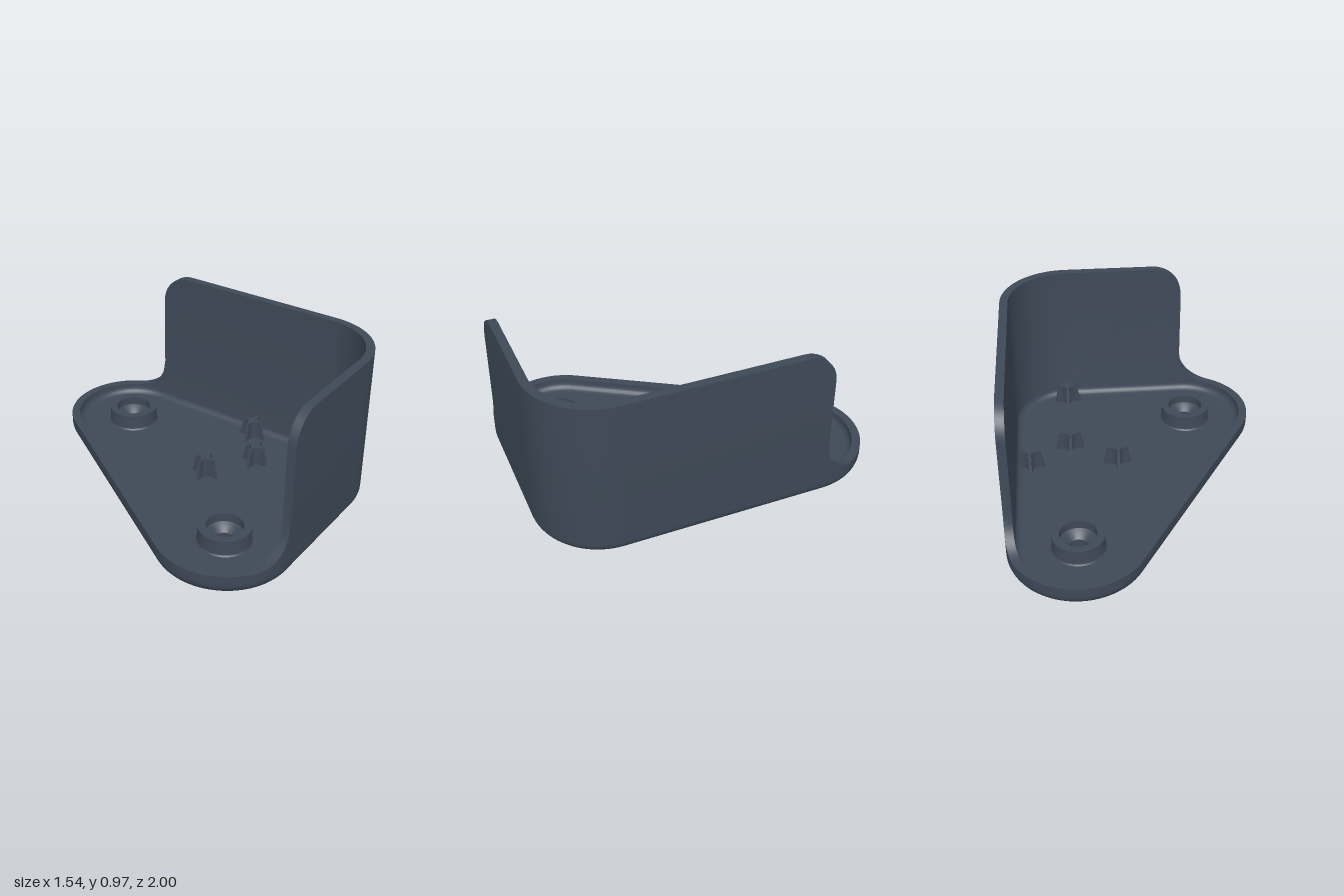
import * as THREE from 'three';
import { mergeGeometries, toCreasedNormals } from 'three/addons/utils/BufferGeometryUtils.js';

const R = 0.4, CX = 0.37, CZ = 0.6;            // corner radius and corner centres
const RIM = 0.135, TOP = 0.97, FLOOR = 0.07, BASE = 0.002;
const FILLET = 0.21, ROUND = 0.18;             // wall foot and wall shoulder radii
const HOLES = [[CX, -CZ], [-CX, CZ]];

// Stations round the outline: centre, outward angle and edge height
function makeStations() {
  const list = [];
  const put = (x, z, a, h) => list.push({ x, z, a, h, c: Math.cos(a), s: Math.sin(a) });
  const slope = Math.PI + Math.atan2(2 * CX, 2 * CZ);
  const foot = d => d > FILLET ? RIM
    : RIM + FILLET - Math.sqrt(Math.max(0, FILLET ** 2 - (FILLET - d) ** 2));
  const shoulder = [];
  for (let k = 0; k <= 10; k++) {
    const t = k * Math.PI / 20;
    shoulder.push([ROUND * (1 - Math.cos(t)), TOP - ROUND + ROUND * Math.sin(t)]);
  }
  // wall: left side, front corner, front side
  for (const [d, h] of shoulder) put(CX, -CZ + d, 0, h);
  for (let i = 0; i <= 30; i++) put(CX, CZ, i / 30 * Math.PI / 2, TOP);
  for (const [d, h] of shoulder.reverse()) put(-CX + d, CZ, Math.PI / 2, h);
  // low rim: front right corner, sloping side, back corner
  for (let i = 0; i <= 64; i++) {
    const a = Math.PI / 2 + (slope - Math.PI / 2) * i / 64;
    put(-CX, CZ, a, foot((a - Math.PI / 2) * R));
  }
  for (let i = 0; i <= 76; i++) {
    const a = slope + (2 * Math.PI - slope) * i / 76;
    put(CX, -CZ, a, foot((2 * Math.PI - a) * R));
  }
  return list;
}

// Rim and wall swept as one closed section round the outline
function shellGeometry(stations) {
  const section = h => {
    const p = [];
    for (let k = 0; k <= 8; k++) {
      const t = k * Math.PI / 16;
      p.push([R - 0.08 + 0.08 * Math.sin(t), BASE + 0.08 * (1 - Math.cos(t))]);
    }
    p.push([R, h], [R - 0.05, h]);
    for (let k = 0; k <= 5; k++) {
      const t = k * Math.PI / 10;
      p.push([R - 0.09 + 0.04 * Math.cos(t), FLOOR + 0.04 * (1 - Math.sin(t))]);
    }
    return p;
  };
  const rings = stations.map(q => section(q.h).map(([r, y]) =>
    new THREE.Vector3(q.x + r * q.c, y, q.z + r * q.s)));
  const pos = [], tri = new THREE.Triangle();
  const face = (a, b, c) => {
    if (tri.set(a, b, c).getArea() > 1e-9) for (const v of [a, b, c]) pos.push(v.x, v.y, v.z);
  };
  rings.forEach((ring, i) => {
    const next = rings[(i + 1) % rings.length];
    for (let j = 0; j < ring.length - 1; j++) {
      face(ring[j], ring[j + 1], next[j]);
      face(next[j], ring[j + 1], next[j + 1]);
    }
  });
  const g = new THREE.BufferGeometry();
  g.setAttribute('position', new THREE.Float32BufferAttribute(pos, 3));
  return toCreasedNormals(g, 0.55);
}

// Flat plate inside the rim with the two holes
function plateGeometry(stations, r, holeR, y, up) {
  const m = up ? -1 : 1;
  const shape = new THREE.Shape(stations.map(q =>
    new THREE.Vector2(q.x + r * q.c, m * (q.z + r * q.s))));
  for (const [x, z] of HOLES)
    shape.holes.push(new THREE.Path().absarc(x, m * z, holeR, 0, Math.PI * 2, true));
  return new THREE.ShapeGeometry(shape, 24).rotateX(m * Math.PI / 2).translate(0, y, 0);
}

// Four-armed locating peg: star core with tapered ribs
function pegGeometry() {
  const h = 0.12, r = 0.055, k = 0.014;
  const star = new THREE.Shape().moveTo(r, 0);
  star.quadraticCurveTo(k, k, 0, r).quadraticCurveTo(-k, k, -r, 0);
  star.quadraticCurveTo(-k, -k, 0, -r).quadraticCurveTo(k, -k, r, 0);
  const core = new THREE.ExtrudeGeometry(star, { depth: h, bevelEnabled: false, curveSegments: 6 })
    .rotateX(-Math.PI / 2);
  const side = new THREE.Shape([[-0.085, 0], [0.085, 0], [0.058, h - 0.002], [-0.058, h - 0.002]]
    .map(p => new THREE.Vector2(...p)));
  const rib = new THREE.ExtrudeGeometry(side, { depth: 0.018, bevelEnabled: false }).translate(0, 0, -0.009);
  return mergeGeometries([core, rib, rib.clone().rotateY(Math.PI / 2)]);
}

// Sprig pattern: one stem and slanted twigs, repeated and trimmed to the underside
function sprigGeometry(stations) {
  const inside = p => stations.every(q => (p.x - q.x) * q.c + (p.y - q.z) * q.s < 0.305)
    && HOLES.every(([x, z]) => Math.hypot(p.x - x, p.y - z) > 0.075);
  const strokes = [[-0.06, 0.22, 0.05, -0.15]];
  for (let i = 0; i < 4; i++) {
    const x = -0.04 + 0.03 * i, z = 0.14 - 0.095 * i;
    strokes.push([x, z, x - 0.135, z - 0.165], [x, z, x + 0.12, z - 0.08]);
  }
  const spots = [[0.4, -0.03], [-0.03, -0.05]];
  for (const x of [0.63, 0.215, -0.21, -0.63]) spots.push([x, 0.6], [x, -0.645]);
  const parts = [], w = 0.014;
  for (const [sx, sz] of spots) for (const [ax, az, bx, bz] of strokes) {
    const kept = [];
    for (let t = 0; t <= 1.001; t += 0.05) {
      const p = new THREE.Vector2(sx + ax + (bx - ax) * t, sz + az + (bz - az) * t);
      if (inside(p)) kept.push(p);
    }
    if (kept.length < 3) continue;
    const a = kept[0], b = kept[kept.length - 1], f = Math.atan2(b.y - a.y, b.x - a.x);
    const s = new THREE.Shape();
    s.absarc(b.x, b.y, w, f - Math.PI / 2, f + Math.PI / 2);
    s.absarc(a.x, a.y, w, f + Math.PI / 2, f + Math.PI * 1.5);
    parts.push(new THREE.ShapeGeometry(s, 6).rotateX(Math.PI / 2));
  }
  return mergeGeometries(parts);
}

export function createModel() {
  const slate = new THREE.MeshStandardMaterial({ color: 0x3e4957 });
  slate.name = 'slate';
  const green = new THREE.MeshStandardMaterial({ color: 0x5aa587 });
  green.name = 'green';
  const model = new THREE.Group();
  model.name = 'cornerBracket';
  const add = (name, geometry, material = slate, x = 0, y = 0, z = 0) => {
    const mesh = new THREE.Mesh(geometry, material);
    mesh.name = name;
    mesh.position.set(x, y, z);
    model.add(mesh);
  };

  const stations = makeStations();
  add('wallAndRim', shellGeometry(stations));
  add('floor', plateGeometry(stations, R - 0.09, 0.12, FLOOR, true));
  add('underside', plateGeometry(stations, R - 0.08, 0.053, BASE, false));
  add('sprigPattern', sprigGeometry(stations), green);

  // Raised screw bosses with countersunk through holes
  const profile = [[0.158, FLOOR], [0.152, 0.078], [0.15, 0.09], [0.15, 0.167], [0.106, 0.167],
    [0.106, 0.115], [0.08, 0.1], [0.053, 0.075], [0.053, BASE]].map(p => new THREE.Vector2(...p));
  const boss = toCreasedNormals(new THREE.LatheGeometry(profile, 48), 0.4);
  for (const [x, z] of HOLES) add('screwBoss', boss, slate, x, 0, z);

  // Locating pegs
  const peg = pegGeometry();
  for (const [x, z] of [[0.1, 0.15], [0.385, 0.325], [0.635, 0.15], [0.385, 0.86]])
    add('locatingPeg', peg, slate, x, FLOOR, z);
  return model;
}
